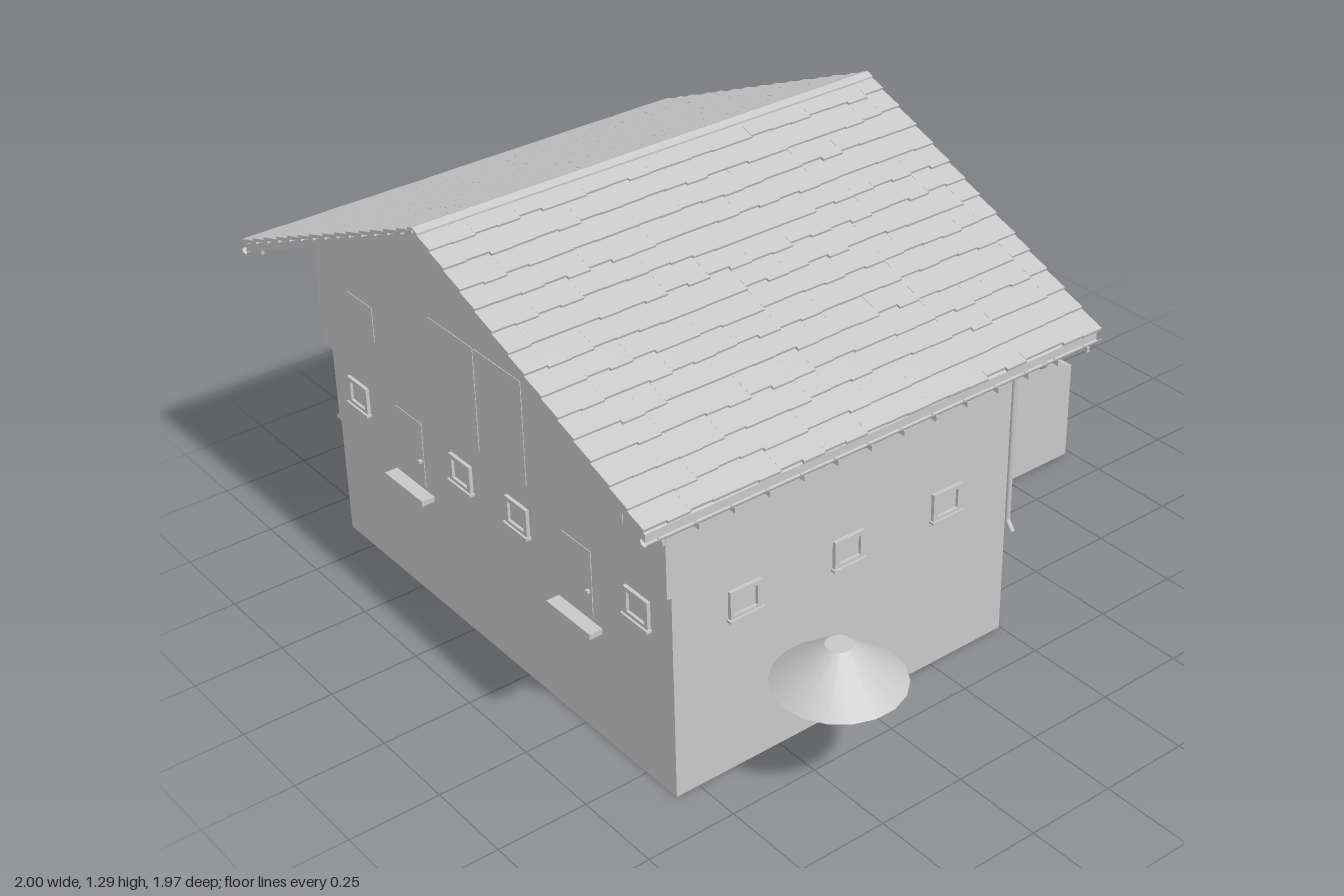
import * as THREE from 'three';
import { mergeGeometries } from 'three/addons/utils/BufferGeometryUtils.js';

const RIDGE_X = -0.125;
const ROOF_Z = 0.285, ROOF_LEN = 1.39;
const ROOF_RUN = 0.865, PITCH = 0.44;

export function createModel() {
  const model = new THREE.Group();
  const grey = new THREE.MeshStandardMaterial({ color: 0xc8c8c8 });
  grey.name = 'plain grey';
  const greyThin = new THREE.MeshStandardMaterial({ color: 0xc8c8c8, side: THREE.DoubleSide });
  greyThin.name = 'plain grey sheet';

  const add = (name, geometry, material = grey, parent = model) => {
    const mesh = new THREE.Mesh(geometry, material);
    mesh.name = name;
    parent.add(mesh);
    return mesh;
  };
  // Box given by its lower and upper limits
  const box = (x0, x1, y0, y1, z0, z1) =>
    new THREE.BoxGeometry(x1 - x0, y1 - y0, z1 - z0)
      .translate((x0 + x1) / 2, (y0 + y1) / 2, (z0 + z1) / 2);
  const shapeOf = (pts) => new THREE.Shape(pts.map(([x, y]) => new THREE.Vector2(x, y)));
  const extrude = (shape, depth) =>
    new THREE.ExtrudeGeometry(shape, { depth, bevelEnabled: false });

  let seed = 7;
  const random = () => (seed = (seed * 16807) % 2147483647) / 2147483647;

  // Walls: plinth, ground floor and slightly overhanging gabled upper floor
  add('plinth', box(-0.867, 0.617, 0, 0.35, -0.247, 0.817));
  add('groundFloor', box(-0.87, 0.62, 0.35, 0.6, -0.25, 0.82));
  const underside = (x) => 1.25 - Math.abs(x - RIDGE_X) * PITCH;
  const gable = shapeOf([[-0.88, 0.595], [0.63, 0.595], [0.63, underside(0.63)],
    [RIDGE_X, 1.25], [-0.88, underside(-0.88)]]);
  add('upperFloor', extrude(gable, 1.1).translate(0, 0, -0.26));

  // Barn ramp sloping down behind the house
  const rampSide = shapeOf([[0.25, 0], [0.985, 0], [0.985, 0.3], [0.25, 0.595]]);
  add('rearRamp', extrude(rampSide, 0.505).rotateY(Math.PI / 2).translate(-0.375, 0, 0));

  // Roof deck: one inverted V section
  const drop = ROOF_RUN * PITCH;
  const deck = shapeOf([
    [-ROOF_RUN, 1.25 - drop], [0, 1.25], [ROOF_RUN, 1.25 - drop],
    [ROOF_RUN, 1.272 - drop], [0, 1.272], [-ROOF_RUN, 1.272 - drop]]);
  add('roofDeck', extrude(deck, ROOF_LEN - 0.01)
    .translate(RIDGE_X, 0, ROOF_Z - ROOF_LEN / 2 + 0.005));

  // Overlapping shingle courses with uneven lower ends
  const angle = Math.atan(PITCH);
  const rows = 14, columns = 22;
  const step = ROOF_RUN / Math.cos(angle) / rows;
  const width = ROOF_LEN / columns;
  for (const side of [1, -1]) {
    const shingles = [];
    for (let r = 0; r < rows; r++) {
      for (let c = 0; c < columns; c++) {
        const end = (r + 1) * step + (random() - 0.5) * 0.012;
        const start = Math.max(0.001, r * step - 0.012);
        const length = end - start;
        shingles.push(new THREE.BoxGeometry(length, 0.009, width)
          .rotateZ(0.1)
          .translate((start + end) / 2, 0.007, (c + 0.5) * width - ROOF_LEN / 2));
      }
    }
    const slope = mergeGeometries(shingles).rotateZ(-angle);
    if (side < 0) slope.rotateY(Math.PI);
    add(side > 0 ? 'leftShingles' : 'rightShingles', slope.translate(RIDGE_X, 1.272, ROOF_Z));
  }
  const cap = shapeOf([[-0.02, -0.009], [0, 0], [0.02, -0.009], [0.02, -0.002], [0, 0.006], [-0.02, -0.002]]);
  add('ridgeCap', extrude(cap, ROOF_LEN).translate(RIDGE_X, 1.281, ROOF_Z - ROOF_LEN / 2));

  // Gutters, brackets and downpipes
  for (const side of [1, -1]) {
    const label = side > 0 ? 'left' : 'right';
    const edge = RIDGE_X + side * (ROOF_RUN + 0.001);
    const gutter = new THREE.CylinderGeometry(0.013, 0.013, ROOF_LEN, 10, 1, true, -Math.PI / 2, Math.PI)
      .rotateX(Math.PI / 2).translate(edge, 0.876, ROOF_Z);
    add(label + 'Gutter', gutter, greyThin);
    const brackets = [];
    for (let i = 0; i < 14; i++) {
      const z = ROOF_Z - 0.65 + i * 0.1;
      brackets.push(box(edge - 0.012, edge + 0.012, 0.852, 0.866, z - 0.004, z + 0.004));
    }
    add(label + 'GutterBrackets', mergeGeometries(brackets));
    const wall = side > 0 ? 0.643 : -0.888;
    const z = side > 0 ? -0.23 : 0.8;
    const path = new THREE.CurvePath();
    const points = [[edge, 0.863], [edge - side * 0.015, 0.85], [wall, 0.838],
      [wall, 0.36], [wall + side * 0.02, 0.335]].map(([x, y]) => new THREE.Vector3(x, y, z));
    for (let i = 1; i < points.length; i++) path.add(new THREE.LineCurve3(points[i - 1], points[i]));
    add(label + 'Downpipe', new THREE.TubeGeometry(path, 60, 0.007, 8, false), greyThin);
  }

  // Windows: raised frame, pane and sill, facing +z before placement
  const frameShape = shapeOf([[-0.047, -0.04], [0.047, -0.04], [0.047, 0.04], [-0.047, 0.04]]);
  frameShape.holes.push(new THREE.Path([[-0.034, -0.028], [-0.034, 0.028], [0.034, 0.028], [0.034, -0.028]]
    .map(([x, y]) => new THREE.Vector2(x, y))));
  const frameGeometry = extrude(frameShape, 0.01);
  const paneGeometry = box(-0.034, 0.034, -0.028, 0.028, -0.002, 0.002);
  const sillGeometry = box(-0.052, 0.052, -0.044, -0.037, 0, 0.016);
  const addWindow = (x, z, turn) => {
    const group = new THREE.Group();
    group.name = 'window';
    add('windowFrame', frameGeometry, grey, group);
    add('windowPane', paneGeometry, grey, group);
    add('windowSill', sillGeometry, grey, group);
    group.position.set(x, 0.49, z);
    group.rotation.y = turn;
    model.add(group);
  };
  for (const x of [-0.74, -0.25, 0, 0.49]) addWindow(x, 0.82, 0);
  for (const z of [-0.03, 0.29, 0.61]) {
    addWindow(0.62, z, Math.PI / 2);
    addWindow(-0.87, z, -Math.PI / 2);
  }

  // Two front doors with step and handle
  for (const x of [-0.495, 0.245]) {
    add('frontDoor', box(x - 0.06, x + 0.06, 0.35, 0.545, 0.819, 0.822));
    add('doorStep', box(x - 0.09, x + 0.09, 0.32, 0.336, 0.81, 0.855));
    add('doorHandle', box(x + 0.045, x + 0.055, 0.425, 0.432, 0.82, 0.832));
  }

  // Shallow loft doors and shutters on the gable
  add('loftDoorRight', box(-0.325, -0.128, 0.62, 0.915, 0.838, 0.842));
  add('loftDoorLeft', box(-0.122, 0.075, 0.62, 0.915, 0.838, 0.842));
  for (const x of [-0.66, 0.41]) add('loftShutter', box(x - 0.06, x + 0.06, 0.72, 0.82, 0.838, 0.842));

  // Stacked logs against the right wall
  const radius = 0.0155;
  const logs = new THREE.Group();
  logs.name = 'logPile';
  for (let row = 0; row < 4; row++) {
    for (let i = 0; i < 4 - row; i++) {
      const log = add('log', new THREE.CylinderGeometry(radius, radius, 0.115, 10).rotateZ(Math.PI / 2), grey, logs);
      log.position.set(-0.933 + (random() - 0.5) * 0.018, 0.339 + row * 0.0255,
        0.27 + (i - (3 - row) / 2) * radius * 2);
    }
  }
  model.add(logs);

  // Heap beside the left wall
  add('heap', new THREE.CylinderGeometry(0.035, 0.167, 0.105, 18).translate(0.83, 0.3725, 0.495));

  return model;
}
